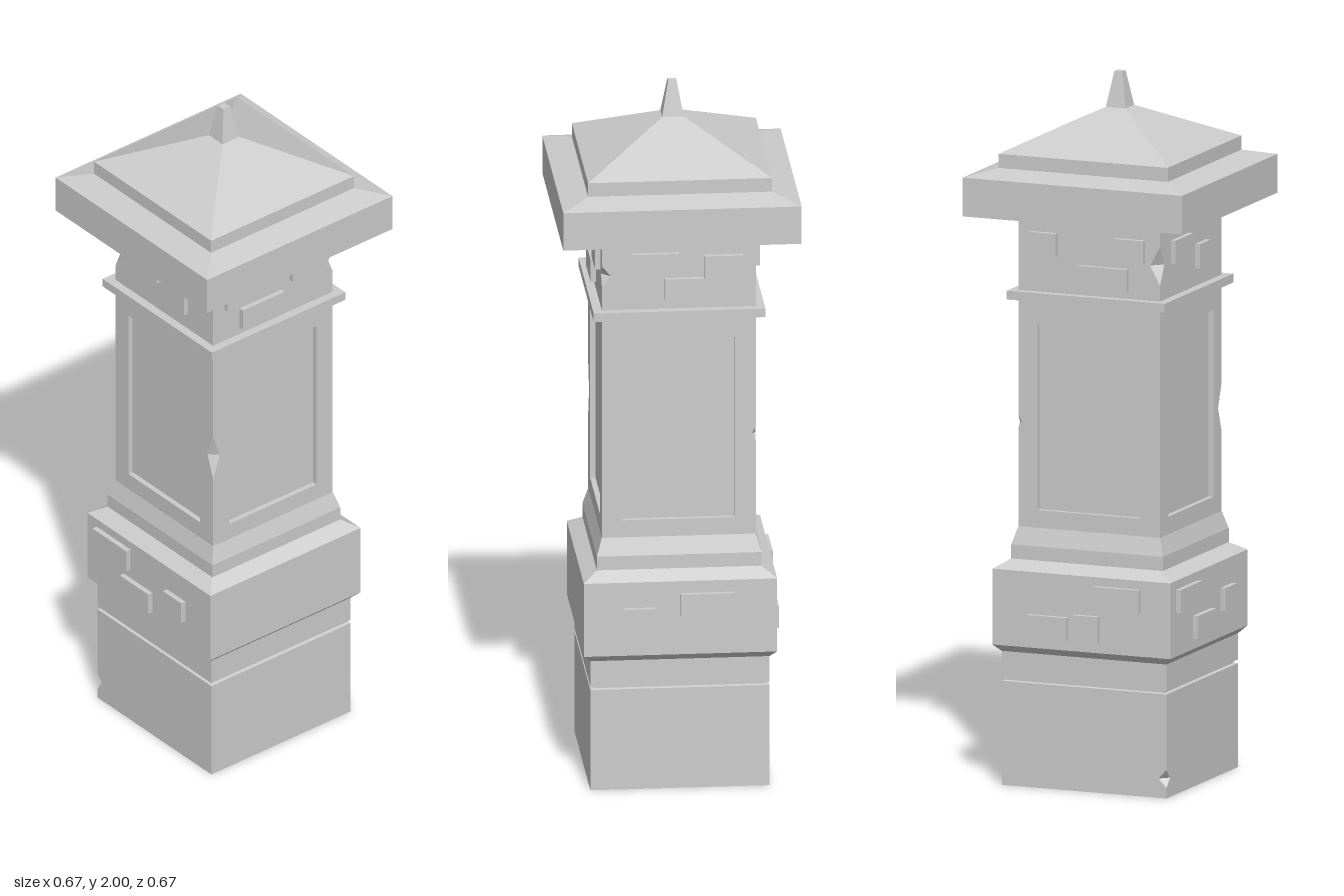
import * as THREE from 'three';

const material = new THREE.MeshStandardMaterial({ color: 0xcccccc, flatShading: true });

function addMesh(parent, name, geometry) {
  const mesh = new THREE.Mesh(geometry, material);
  mesh.name = name;
  parent.add(mesh);
  return mesh;
}

// Square stack: profile of [half width, height], bottom to top
function stack(profile) {
  const points = profile.map(([h, y]) => new THREE.Vector2(h * Math.SQRT2, y));
  return new THREE.LatheGeometry(points, 4, Math.PI / 4);
}

// Flat polygons, corners counter-clockwise, fanned into triangles
function facets(polygons) {
  const out = [];
  for (const p of polygons) {
    for (let i = 1; i < p.length - 1; i++) out.push(...p[0], ...p[i], ...p[i + 1]);
  }
  const geometry = new THREE.BufferGeometry();
  geometry.setAttribute('position', new THREE.Float32BufferAttribute(out, 3));
  geometry.computeVertexNormals();
  return geometry;
}

// Four walls with chipped corners; chips[k] = [height, half length, depth]
// Corner k is the right-hand edge of side k (0 front, 1 left, 2 back, 3 right)
function walls(name, h, y0, y1, chips, panel) {
  const group = new THREE.Group();
  group.name = name;
  for (let k = 0; k < 4; k++) {
    const side = new THREE.Group();
    side.name = name + 'Side';
    side.rotation.y = k * Math.PI / 2;
    group.add(side);

    const right = chips[k], left = chips[(k + 3) % 4];
    const outline = [[-h, y0], [h, y0]];
    if (right) {
      const [y, t, d] = right;
      outline.push([h, y - t], [h - d, y], [h, y + t]);
      const a = [h - d, y, h], b = [h, y, h - d];
      addMesh(side, 'cornerChip', facets([[[h, y + t, h], a, b], [[h, y - t, h], b, a]]));
    }
    outline.push([h, y1], [-h, y1]);
    if (left) {
      const [y, t, d] = left;
      outline.push([-h, y + t], [-h + d, y], [-h, y - t]);
    }
    const shape = new THREE.Shape(outline.map(p => new THREE.Vector2(...p)));

    // Sunken panel
    if (panel) {
      const [w, p0, p1, depth] = panel;
      const ring = [[-w, p0], [w, p0], [w, p1], [-w, p1]];
      shape.holes.push(new THREE.Path(ring.map(p => new THREE.Vector2(...p))));
      const front = ring.map(p => [...p, h]);
      const back = ring.map(p => [...p, h - depth]);
      const reveals = ring.map((_, i) => {
        const j = (i + 1) % 4;
        return [front[i], front[j], back[j], back[i]];
      });
      addMesh(side, 'sunkenPanel', facets([back, ...reveals]));
    }
    addMesh(side, 'wall', new THREE.ShapeGeometry(shape).translate(0, 0, h));
  }
  return group;
}

// Raised bricks; rows[k] lists [u0, u1, y0, y1] on side k
function bricks(name, h, rows) {
  const group = new THREE.Group();
  group.name = name;
  rows.forEach((row, k) => {
    const side = new THREE.Group();
    side.name = name + 'Side';
    side.rotation.y = k * Math.PI / 2;
    group.add(side);
    for (const [u0, u1, y0, y1] of row) {
      const brick = addMesh(side, 'brick', new THREE.BoxGeometry(u1 - u0, y1 - y0, 0.03));
      brick.position.set((u0 + u1) / 2, (y0 + y1) / 2, h);
    }
  });
  return group;
}

export function createModel() {
  const model = new THREE.Group();
  model.name = 'stonePillar';

  // Base block, groove and wide lower band
  addMesh(model, 'underside', stack([[0, 0], [0.25, 0]]));
  model.add(walls('baseBlock', 0.25, 0, 0.295, { 3: [0.055, 0.025, 0.025] }));
  addMesh(model, 'groove', stack([
    [0.25, 0.295], [0.24, 0.297], [0.24, 0.303], [0.25, 0.305], [0.25, 0.38],
  ]));
  addMesh(model, 'lowerBand', stack([
    [0.25, 0.38], [0.27, 0.4], [0.27, 0.615], [0.23, 0.64], [0.23, 0.68], [0.215, 0.73],
  ]));
  model.add(bricks('lowerBricks', 0.27, [
    [[-0.23, -0.08, 0.525, 0.59], [-0.11, 0.015, 0.43, 0.495], [0.08, 0.16, 0.475, 0.54]],
    [],
    [[-0.16, -0.07, 0.475, 0.54], [0, 0.15, 0.515, 0.58]],
    [[0.04, 0.18, 0.525, 0.59], [-0.16, -0.04, 0.43, 0.495], [-0.02, 0.055, 0.43, 0.505]],
  ]));

  // Panelled shaft and collar
  model.add(walls('shaft', 0.215, 0.73, 1.375,
    { 0: [1.025, 0.07, 0.025], 2: [1.025, 0.02, 0.012] }, [0.157, 0.78, 1.31, 0.015]));
  addMesh(model, 'collar', stack([
    [0.215, 1.375], [0.24, 1.375], [0.24, 1.4], [0.215, 1.4],
  ]));

  // Neck with raised bricks
  model.add(walls('neck', 0.215, 1.4, 1.605,
    { 1: [1.5, 0.03, 0.025], 3: [1.5, 0.055, 0.03] }));
  model.add(bricks('neckBricks', 0.215, [
    [[-0.14, -0.015, 1.495, 1.56], [0.03, 0.105, 1.45, 1.52]],
    [[-0.175, -0.095, 1.505, 1.57], [-0.12, 0.03, 1.42, 1.485], [0.06, 0.17, 1.505, 1.57]],
    [[-0.13, 0, 1.5, 1.565], [-0.04, 0.08, 1.43, 1.49], [0.07, 0.18, 1.49, 1.555]],
    [[-0.175, -0.095, 1.505, 1.57], [-0.03, 0.12, 1.42, 1.485], [0.08, 0.17, 1.505, 1.57]],
  ]));

  // Overhanging cap, pyramid roof and finial
  addMesh(model, 'cap', stack([
    [0.215, 1.6], [0.333, 1.62], [0.333, 1.73], [0.257, 1.75], [0.257, 1.79],
  ]));
  addMesh(model, 'roof', stack([[0.257, 1.79], [0.03, 1.9]]));
  addMesh(model, 'finial', stack([[0.03, 1.9], [0.012, 2], [0, 2]]));

  return model;
}
